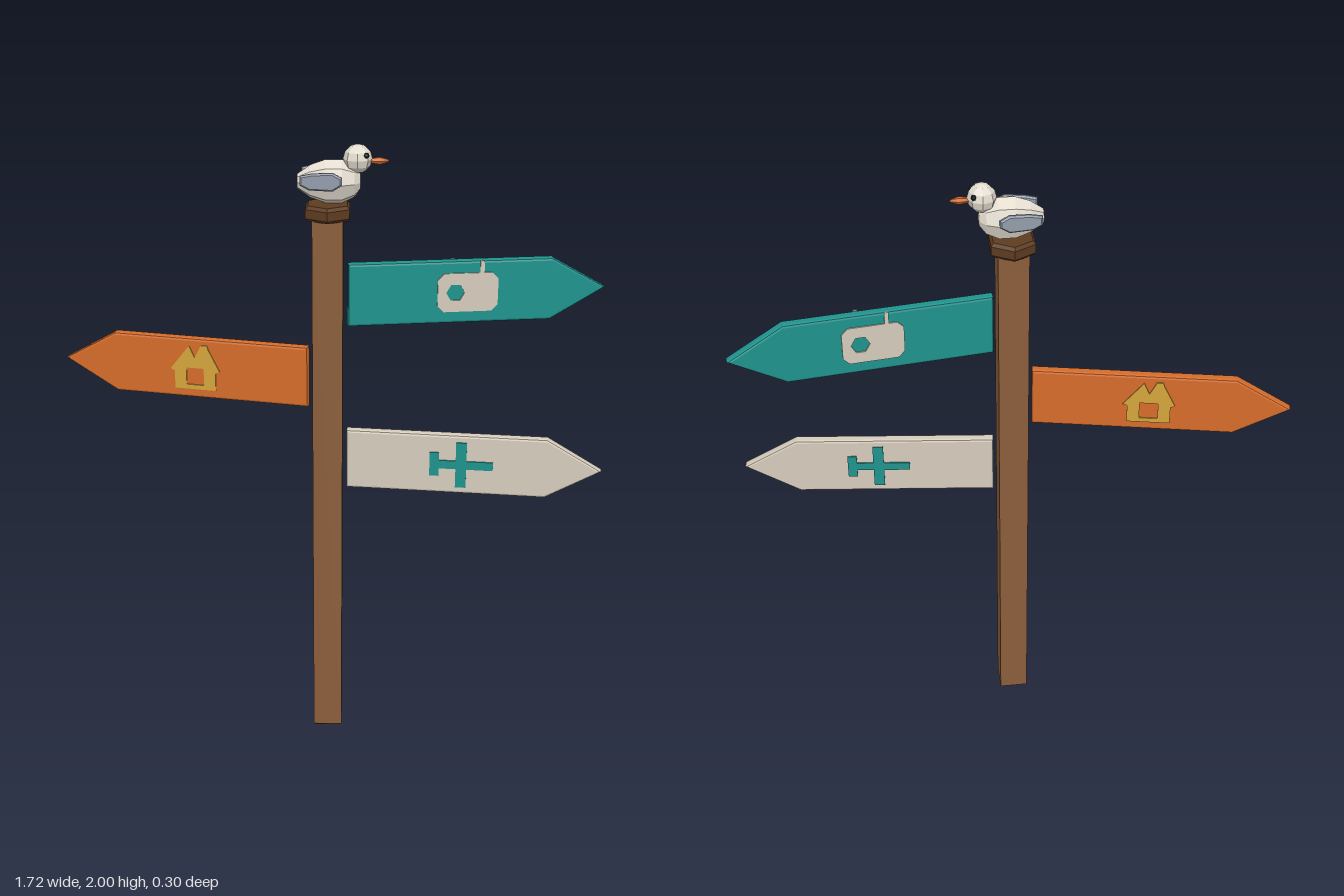
import * as THREE from 'three';

const paint = (name, color) => {
  const m = new THREE.MeshStandardMaterial({ color });
  m.name = name;
  return m;
};

// Faceted normals
const facet = (g) => {
  const f = g.index ? g.toNonIndexed() : g;
  f.computeVertexNormals();
  return f;
};

const toShape = (pts) => new THREE.Shape(pts.map(([x, y]) => new THREE.Vector2(x, y)));

const add = (parent, name, geometry, material, x = 0, y = 0, z = 0) => {
  const mesh = new THREE.Mesh(geometry, material);
  mesh.name = name;
  mesh.position.set(x, y, z);
  parent.add(mesh);
  return mesh;
};

// Plate centred on z = 0 whose bevel stays inside the outline
const bevelled = (pts, thickness, bevel, steps = 1) =>
  new THREE.ExtrudeGeometry(toShape(pts), {
    depth: thickness - 2 * bevel, bevelSize: bevel, bevelThickness: bevel,
    bevelOffset: -bevel, bevelSegments: steps,
  }).translate(0, 0, bevel - thickness / 2);

const rect = (x0, y0, x1, y1) => [[x0, y0], [x1, y0], [x1, y1], [x0, y1]];

const lathe = (pts, sides) =>
  facet(new THREE.LatheGeometry(pts.map(([r, y]) => new THREE.Vector2(r, y)), sides));

// Lathe lying along x, points given as [x, radius]
const latheX = (pts, sides) => lathe(pts.map(([x, r]) => [r, x]), sides).rotateZ(-Math.PI / 2);

// Flat pictograms, centred on the origin
function radioIcon() {
  const body = toShape([[-0.075, -0.062], [0.075, -0.062], [0.095, -0.042], [0.095, 0.042],
    [0.075, 0.062], [0.05, 0.062], [0.05, 0.1], [0.037, 0.1], [0.037, 0.062],
    [-0.075, 0.062], [-0.095, 0.042], [-0.095, -0.042]]);
  const hole = [];
  for (let i = 0; i < 6; i++) {
    const a = -i * Math.PI / 3;
    hole.push(new THREE.Vector2(-0.039 + 0.029 * Math.cos(a), 0.029 * Math.sin(a)));
  }
  body.holes.push(new THREE.Path(hole));
  return [body];
}

function houseIcon() {
  const house = toShape([[-0.068, -0.07], [0.068, -0.07], [0.068, -0.01], [0.082, -0.005],
    [0.045, 0.068], [0.042, 0.08], [0.022, 0.08], [0, 0.036], [-0.018, 0.076], [-0.082, -0.005], [-0.068, -0.01]]);
  house.holes.push(new THREE.Path(rect(-0.029, -0.055, 0.029, 0.002)
    .reverse().map(([x, y]) => new THREE.Vector2(x, y))));
  return [house];
}

function planeIcon() {
  return [toShape([[-0.103, -0.04], [-0.073, -0.04], [-0.073, -0.014], [-0.02, -0.014],
    [-0.02, -0.077], [0.014, -0.077], [0.014, -0.014], [0.098, -0.014], [0.098, 0.014],
    [0.014, 0.014], [0.014, 0.077], [-0.02, 0.077], [-0.02, 0.014], [-0.073, 0.014],
    [-0.073, 0.04], [-0.103, 0.04]])];
}

// Arrow board running along local +x, with a pictogram on both faces
function makeSign(name, length, board, icon, iconX, iconMaterial) {
  const sign = new THREE.Group();
  sign.name = name;
  const neck = length - 0.172;
  const outline = [[0, -0.1], [neck, -0.1], [length, 0], [neck, 0.1], [0, 0.1]];
  add(sign, name + 'Board', bevelled(outline, 0.034, 0.008, 2), board);
  const plate = new THREE.ExtrudeGeometry(icon, { depth: 0.004, bevelEnabled: false });
  add(sign, name + 'FrontIcon', plate, iconMaterial, iconX, 0, 0.017);
  add(sign, name + 'BackIcon', plate, iconMaterial, iconX, 0, -0.017).rotation.y = Math.PI;
  return sign;
}

function makeBird(white, grey, orange, dark) {
  const bird = new THREE.Group();
  bird.name = 'bird';
  // Plump body, narrowing to a blunt tail
  const body = latheX([[-0.1, 0], [-0.1, 0.022], [-0.06, 0.05], [-0.015, 0.066], [0.035, 0.066],
    [0.072, 0.048], [0.09, 0.022], [0.092, 0]], 8);
  add(bird, 'body', body.scale(1, 1, 0.9), white, 0, 1.887, 0);
  add(bird, 'head', facet(new THREE.SphereGeometry(0.044, 8, 6)), white, 0.081, 1.956, 0);
  add(bird, 'beak', latheX([[0, 0.007], [0.03, 0.012], [0.056, 0.004], [0.058, 0]], 6), orange, 0.117, 1.95, 0);
  const wing = [[-0.068, -0.012], [-0.04, -0.026], [0.03, -0.028], [0.058, -0.01],
    [0.058, 0.012], [0.03, 0.027], [-0.03, 0.024], [-0.068, 0.016]];
  for (const side of [-1, 1]) {
    const prefix = side > 0 ? 'right' : 'left';
    add(bird, prefix + 'Wing', bevelled(wing, 0.016, 0.005), grey, -0.022, 1.9, side * 0.063)
      .rotation.y = side * -0.08;
    add(bird, prefix + 'Eye', facet(new THREE.SphereGeometry(0.009, 6, 4)), dark, 0.107, 1.971, side * 0.029);
  }
  return bird;
}

export function createModel() {
  const wood = paint('post wood', 0x8b5e3c);
  const darkWood = paint('cap wood', 0x5e3c20);
  const teal = paint('teal', 0x1f938d);
  const orange = paint('orange', 0xd56c2a);
  const cream = paint('cream', 0xd6ccbc);
  const gold = paint('gold', 0xd4a53c);
  const white = paint('feather white', 0xe4ddd0);
  const grey = paint('wing grey', 0x949dac);
  const dark = paint('eye dark', 0x1e1e22);

  const model = new THREE.Group();
  model.name = 'signpost';
  const px = -0.008, pz = 0.046;

  // Square post and six-sided cap
  const post = bevelled(rect(-0.047, -0.047, 0.047, 0.047), 1.79, 0.008).rotateX(-Math.PI / 2);
  add(model, 'post', post, wood, px, 0.895, pz);
  const cap = lathe([[0, 0], [0.07, 0], [0.077, 0.008], [0.077, 0.036], [0.068, 0.046], [0, 0.046]], 6);
  add(model, 'cap', cap, darkWood, px, 1.775, pz);

  // Signs: start x, height, start z, heading in degrees
  const place = (sign, x, y, z, degrees) => {
    sign.position.set(x, y, z);
    sign.rotation.y = THREE.MathUtils.degToRad(degrees);
    model.add(sign);
  };
  place(makeSign('radioSign', 0.81, teal, radioIcon(), 0.373, cream), 0.053, 1.532, 0.038, 8);
  place(makeSign('houseSign', 0.81, orange, houseIcon(), 0.37, gold), -0.069, 1.26, 0.032, 168);
  place(makeSign('planeSign', 0.807, cream, planeIcon(), 0.37, teal), 0.053, 0.991, 0.051, -6);

  // Bird on the cap
  const bird = makeBird(white, grey, orange, dark);
  bird.position.z = 0.042;
  model.add(bird);
  return model;
}
